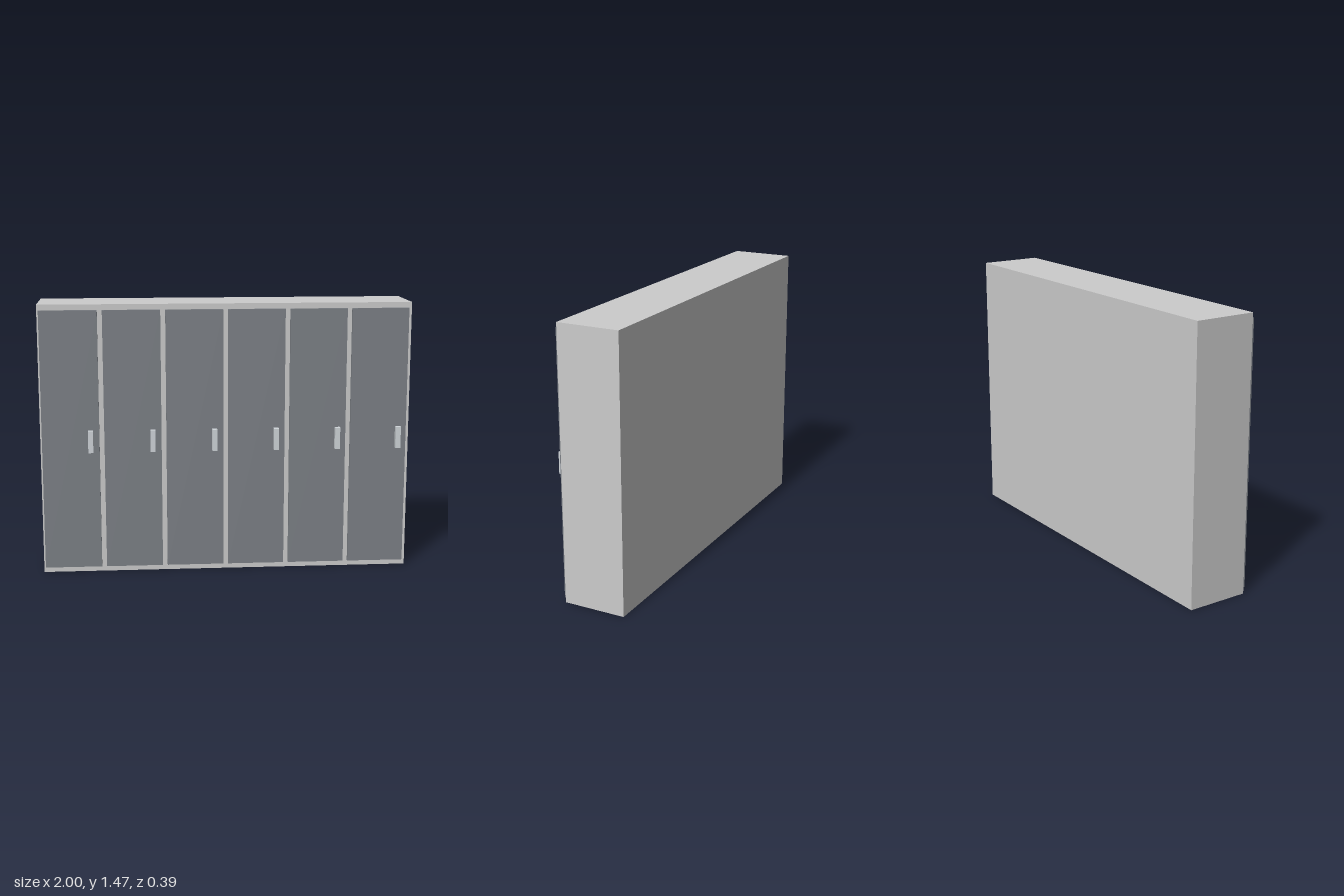
import * as THREE from 'three';

const bodyMat = new THREE.MeshStandardMaterial({ color: 0xcccccc });
const doorMat = new THREE.MeshStandardMaterial({ color: 0x7c8086 });
const handleMat = new THREE.MeshStandardMaterial({ color: 0xd0d6da });

// Box given by its size, centre x, bottom y and back z
function box(name, material, [w, h, d], x, bottom, back) {
  const mesh = new THREE.Mesh(new THREE.BoxGeometry(w, h, d), material);
  mesh.name = name;
  mesh.position.set(x, bottom + h / 2, back + d / 2);
  return mesh;
}

export function createModel() {
  const group = new THREE.Group();
  group.name = 'lockerRow';

  // Cabinet body
  group.add(box('cabinetBody', bodyMat, [2, 1.467, 0.34], 0, 0, -0.193));

  // Six doors, each with a pull handle near its +x edge
  const doorCount = 6;
  const pitch = 2 / doorCount;
  for (let i = 0; i < doorCount; i++) {
    const x = -0.837 + i * pitch;
    const locker = new THREE.Group();
    locker.name = `lockerDoor${i + 1}`;
    locker.add(
      box('doorPanel', doorMat, [0.307, 1.407, 0.016], x, 0.03, 0.147),
      box('handle', handleMat, [0.027, 0.118, 0.03], x + 0.107, 0.675, 0.163)
    );
    group.add(locker);
  }
  return group;
}
